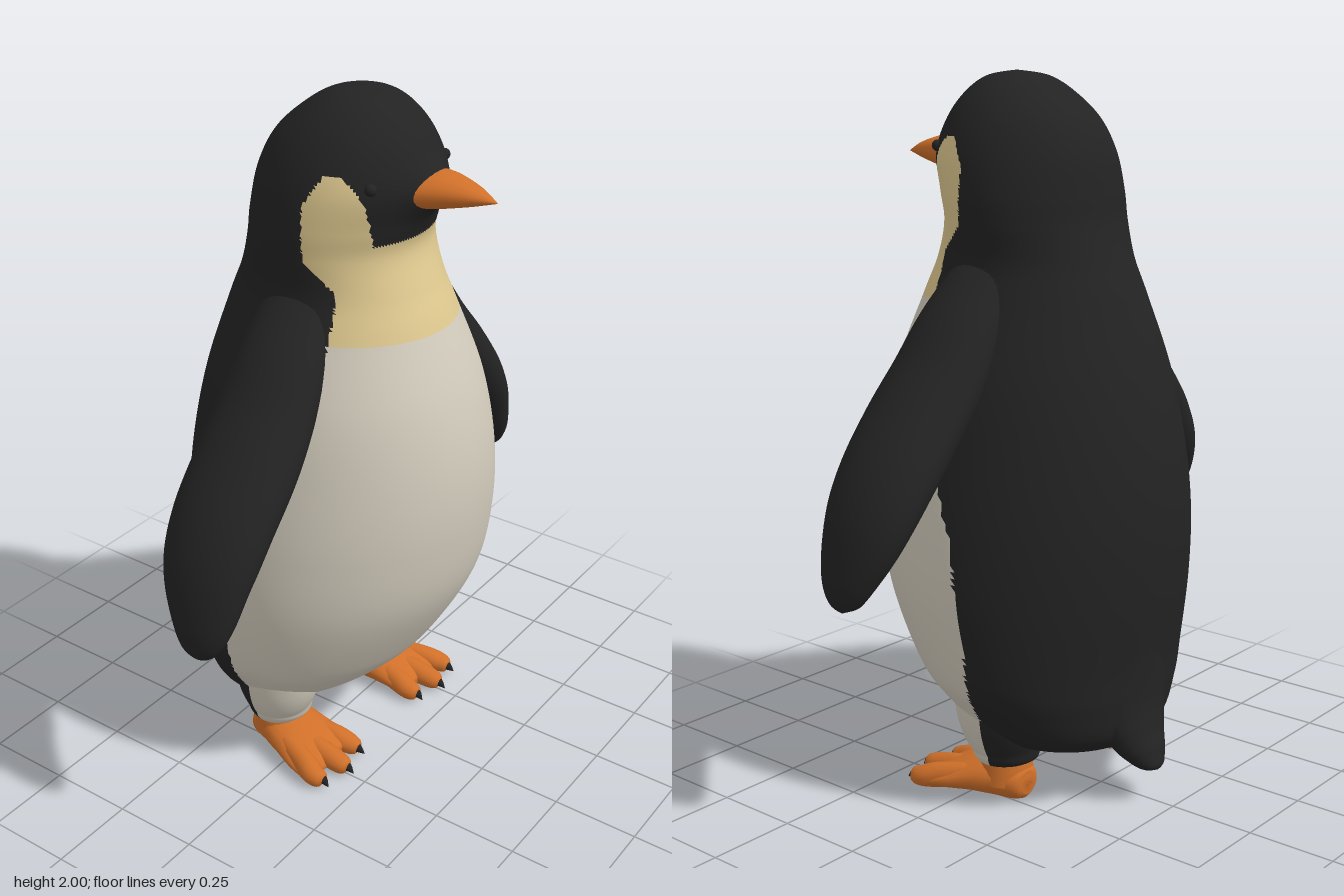
import * as THREE from 'three';

const mat = (name, color) => {
  const m = new THREE.MeshStandardMaterial({ color });
  m.name = name;
  return m;
};

// Catmull-Rom through rows of numbers, t from 0 to 1
function smooth(rows, t) {
  const n = rows.length - 1;
  const f = Math.min(t * n, n - 1e-6), i = Math.floor(f), u = f - i;
  const at = k => rows[Math.max(0, Math.min(n, k))];
  const [p, q, r, s] = [at(i - 1), at(i), at(i + 1), at(i + 2)];
  return q.map((_, k) => {
    const v0 = (r[k] - p[k]) / 2, v1 = (s[k] - q[k]) / 2, d = q[k] - r[k];
    return (2 * d + v0 + v1) * u ** 3 + (-3 * d - 2 * v0 - v1) * u * u + v0 * u + q[k];
  });
}

// Closed skin over rings; point(t, angle) gives each vertex
function skin(point, rings, sides) {
  const pos = [], index = [];
  for (let i = 0; i <= rings; i++)
    for (let j = 0; j < sides; j++) pos.push(...point(i / rings, (j / sides) * Math.PI * 2));
  for (let i = 0; i < rings; i++)
    for (let j = 0; j < sides; j++) {
      const a = i * sides + j, b = i * sides + (j + 1) % sides;
      index.push(a, b, a + sides, b, b + sides, a + sides);
    }
  const g = new THREE.BufferGeometry();
  g.setAttribute('position', new THREE.Float32BufferAttribute(pos, 3));
  g.setIndex(index);
  g.computeVertexNormals();
  return g;
}

// Elliptical limb: rows of [x, y, z, halfAcross, halfAlongRef]
function limb(rows, ref, rings = 32, sides = 24) {
  const V = a => new THREE.Vector3(a[0], a[1], a[2]);
  return skin((t, ang) => {
    const r = smooth(rows, t);
    const T = V(smooth(rows, Math.min(1, t + 0.01))).sub(V(smooth(rows, Math.max(0, t - 0.01)))).normalize();
    const U = ref.clone().cross(T).normalize(), W = T.clone().cross(U);
    const p = V(r).addScaledVector(U, Math.max(0, r[3]) * Math.cos(ang))
      .addScaledVector(W, Math.max(0, r[4]) * Math.sin(ang));
    return [p.x, Math.max(0.005, p.y), p.z];
  }, rings, sides);
}

// Sort triangles into material groups by the rule at their centres
function paint(g, rule, count) {
  const bins = Array.from({ length: count }, () => []);
  const idx = g.index.array, p = g.attributes.position;
  for (let i = 0; i < idx.length; i += 3) {
    const tri = [idx[i], idx[i + 1], idx[i + 2]];
    const mid = k => tri.reduce((s, v) => s + p.getComponent(v, k), 0) / 3;
    bins[rule(mid(0), mid(1), mid(2))].push(...tri);
  }
  g.setIndex(bins.flat());
  let start = 0;
  bins.forEach((b, i) => { g.addGroup(start, b.length, i); start += b.length; });
  return g;
}

// Body cross-sections from the bottom up: [y, halfWidth, frontZ, backZ]
const BODY = [
  [0.14, 0, -0.16, -0.16], [0.15, 0.18, 0.02, -0.32], [0.2, 0.295, 0.09, -0.385],
  [0.3, 0.375, 0.2, -0.405], [0.4, 0.42, 0.28, -0.412], [0.6, 0.447, 0.385, -0.438],
  [0.8, 0.44, 0.425, -0.448], [1, 0.41, 0.427, -0.432], [1.2, 0.365, 0.39, -0.39],
  [1.4, 0.29, 0.315, -0.325], [1.5, 0.26, 0.27, -0.285], [1.6, 0.262, 0.235, -0.253],
  [1.68, 0.26, 0.25, -0.243], [1.78, 0.242, 0.275, -0.225], [1.87, 0.205, 0.25, -0.18],
  [1.94, 0.152, 0.2, -0.105], [1.985, 0.085, 0.14, -0.03], [2, 0, 0.06, 0.06],
];
function bodyPoint(t, a) {
  const [y, w, zf, zb] = smooth(BODY, t);
  const x = w * Math.sin(a);
  let z = (zf + zb) / 2 + ((zf - zb) / 2) * Math.cos(a);
  // swelling around the base of the beak
  if (z > 0) z += 0.045 * Math.exp(-(x * x) / 0.006 - (y - 1.77) ** 2 / 0.004);
  return [x, y, z];
}

// Line between the dark back and the pale front: [y, z]
const EDGE = [[0, -0.09], [0.5, -0.11], [0.8, -0.07], [1, 0.02], [1.2, 0.11], [1.4, 0.135],
  [1.52, 0.13], [1.6, 0.05], [1.75, 0.045], [1.84, 0.1], [2.1, 0.1]];
function edgeZ(y) {
  const i = EDGE.findIndex(e => e[0] > y);
  const [a, b] = [EDGE[i - 1], EDGE[i]];
  return a[1] + (b[1] - a[1]) * (y - a[0]) / (b[0] - a[0]);
}
// 0 dark, 1 pale belly, 2 cream collar and cheeks
function plumage(x, y, z) {
  if (z < edgeZ(y)) return 0;
  if (y < 1.39) return 1;
  const mask = 1.64 + Math.max(0, Math.abs(x) - 0.15) * 3.5;
  return y < Math.min(mask, 1.83) ? 2 : 0;
}

export function createModel() {
  const black = mat('black feathers', 0x232324);
  const white = mat('white belly', 0xd3ccbd);
  const cream = mat('cream collar', 0xdec88f);
  const orange = mat('orange skin', 0xd0702a);
  const feathers = [black, white, cream];

  const X = new THREE.Vector3(1, 0, 0), Y = new THREE.Vector3(0, 1, 0), Z = new THREE.Vector3(0, 0, 1);
  const model = new THREE.Group();
  model.name = 'penguin';
  const add = (name, geo, material, parent = model) => {
    const m = new THREE.Mesh(geo, material);
    m.name = name;
    parent.add(m);
    return m;
  };

  add('body', paint(skin(bodyPoint, 190, 180), plumage, 3), feathers);

  add('tail', limb([
    [0, 0.5, -0.33, 0.09, 0.16], [0, 0.3, -0.345, 0.07, 0.14], [0, 0.2, -0.37, 0.062, 0.11],
    [0, 0.14, -0.41, 0.045, 0.07], [0, 0.11, -0.44, 0.02, 0.035], [0, 0.1, -0.447, 0, 0],
  ], X), black);

  add('beak', limb([
    [0, 1.77, 0.26, 0.09, 0.05], [0, 1.775, 0.32, 0.07, 0.045],
    [0, 1.775, 0.4, 0.037, 0.025], [0, 1.77, 0.465, 0, 0],
  ], Y), orange);

  for (const s of [1, -1]) {
    const side = s > 0 ? 'left' : 'right';
    const flip = rows => rows.map(([x, ...rest]) => [x * s, ...rest]);

    const eye = add(side + 'Eye', new THREE.SphereGeometry(0.016, 16, 12), black);
    eye.position.set(...bodyPoint(13.2 / 17, s * 0.8));

    add(side + 'Wing', limb(flip([
      [0.17, 1.5, 0, 0.06, 0.1], [0.29, 1.34, 0.01, 0.09, 0.13], [0.38, 1.21, 0.015, 0.098, 0.145],
      [0.47, 1.1, 0.02, 0.1, 0.152], [0.57, 0.98, 0.02, 0.095, 0.15], [0.64, 0.87, 0.025, 0.08, 0.137],
      [0.69, 0.75, 0.04, 0.055, 0.1], [0.715, 0.67, 0.045, 0.03, 0.055], [0.72, 0.642, 0.045, 0, 0],
    ]), Z, 48, 32), black);

    add(side + 'Thigh', paint(limb(flip([
      [0.24, 0.4, -0.07, 0.12, 0.14], [0.235, 0.25, -0.075, 0.115, 0.13],
      [0.22, 0.16, -0.08, 0.1, 0.1], [0.22, 0.115, -0.08, 0.085, 0.08], [0.22, 0.11, -0.08, 0, 0],
    ]), Z, 40, 40), plumage, 3), feathers);

    // foot with ankle, three toes and claws
    const foot = new THREE.Group();
    foot.name = side + 'Foot';
    model.add(foot);
    const ankle = add('ankle', new THREE.CylinderGeometry(0.07, 0.08, 0.1, 24), orange, foot);
    ankle.position.set(0.22 * s, 0.1, -0.08);
    add('sole', limb(flip([
      [0.22, 0.05, -0.16, 0, 0], [0.22, 0.05, -0.15, 0.05, 0.045], [0.22, 0.06, -0.07, 0.085, 0.06],
      [0.23, 0.055, 0, 0.1, 0.052], [0.245, 0.038, 0.08, 0.112, 0.036],
      [0.25, 0.028, 0.12, 0.1, 0.022], [0.25, 0.025, 0.135, 0, 0],
    ]), Y), orange, foot);
    for (const k of [-1, 0, 1]) {
      const end = 0.185 - 0.025 * Math.abs(k), tip = 0.25 + k * 0.088;
      add('toe', limb(flip([
        [0.235 + k * 0.05, 0.06, -0.02, 0.03, 0.035], [0.245 + k * 0.075, 0.045, 0.08, 0.034, 0.036],
        [tip, 0.034, end - 0.03, 0.033, 0.03], [tip, 0.03, end, 0.022, 0.022],
        [tip, 0.028, end + 0.008, 0, 0],
      ]), Y, 24, 16), orange, foot);
      add('claw', limb(flip([
        [tip, 0.036, end - 0.015, 0.015, 0.018], [tip, 0.03, end + 0.005, 0.012, 0.014],
        [tip + k * 0.004, 0.016, end + 0.026, 0, 0],
      ]), Y, 10, 12), black, foot);
    }
  }
  return model;
}
